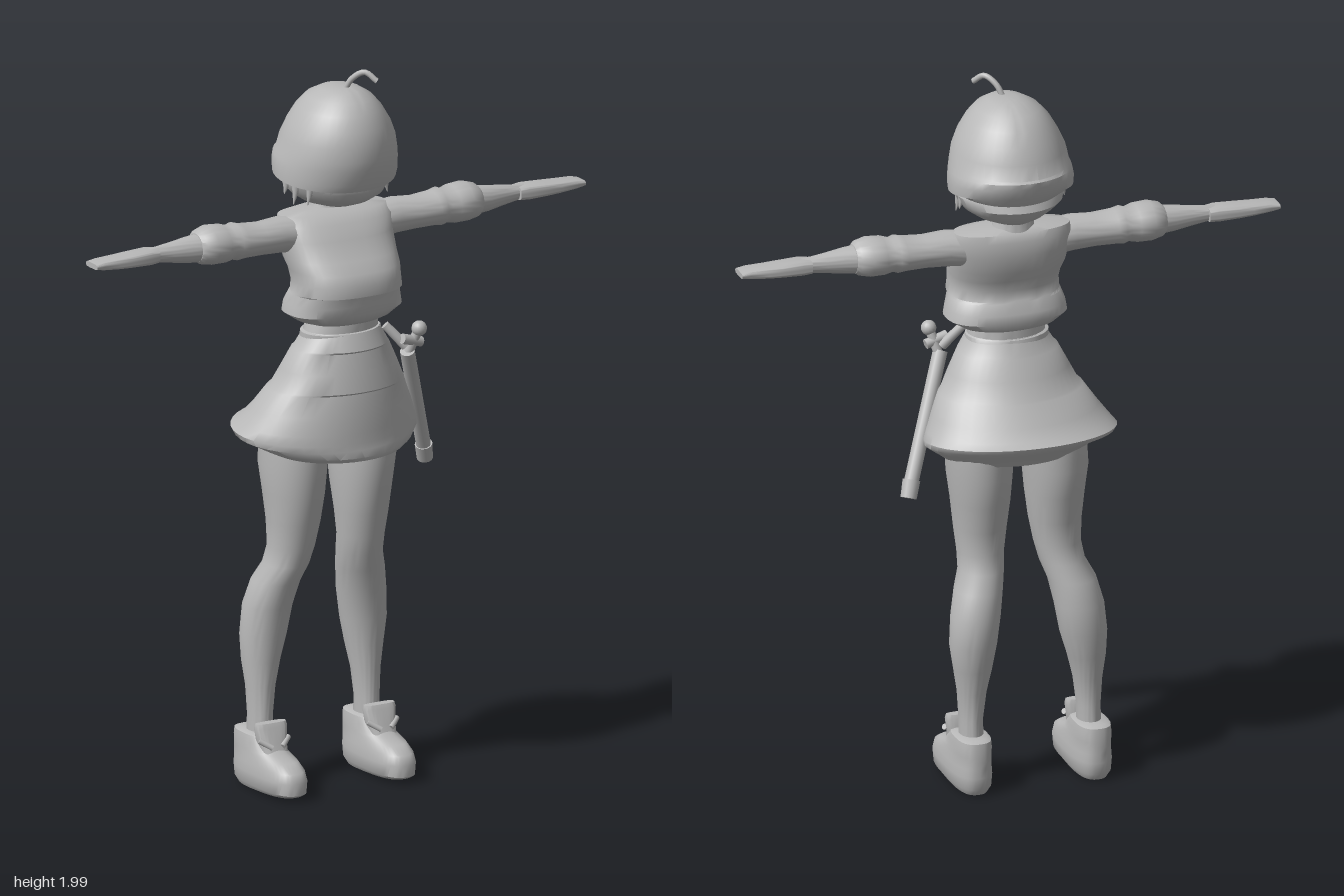
import * as THREE from 'three';
import { toCreasedNormals } from 'three/addons/utils/BufferGeometryUtils.js';

const grey = new THREE.MeshStandardMaterial({ color: 0xb8b8b8, side: THREE.DoubleSide });
grey.name = 'plain grey';

// Closed loft through oval rings, bottom to top: [y, xMin, xMax, zMin, zMax, tilt].
// power below 1 makes the ovals boxier; tilt raises or lowers a ring along z.
function loft(rings, power = 1, sides = 40) {
  const pos = [], index = [];
  const soft = (v) => Math.sign(v) * Math.abs(v) ** power;
  for (const [y, x0, x1, z0, z1, tilt = 0] of rings) {
    const cx = (x0 + x1) / 2, cz = (z0 + z1) / 2;
    for (let i = 0; i < sides; i++) {
      const a = (i / sides) * Math.PI * 2;
      const dz = ((z1 - z0) / 2) * soft(Math.sin(a));
      pos.push(cx + ((x1 - x0) / 2) * soft(Math.cos(a)), y + tilt * dz, cz + dz);
    }
  }
  for (let r = 0; r < rings.length - 1; r++) {
    for (let i = 0; i < sides; i++) {
      const a = r * sides + i, b = r * sides + ((i + 1) % sides);
      index.push(a, a + sides, b, b, a + sides, b + sides);
    }
  }
  // End caps
  [[rings[0], 0], [rings[rings.length - 1], (rings.length - 1) * sides]].forEach(([q, start], end) => {
    const c = pos.length / 3;
    pos.push((q[1] + q[2]) / 2, q[0], (q[3] + q[4]) / 2);
    for (let i = 0; i < sides; i++) {
      const a = start + i, b = start + ((i + 1) % sides);
      if (end) index.push(c, b, a); else index.push(c, a, b);
    }
  });
  const g = new THREE.BufferGeometry();
  g.setAttribute('position', new THREE.Float32BufferAttribute(pos, 3));
  g.setIndex(index);
  return toCreasedNormals(g, 0.75);
}

function rod(from, to, r0, r1) {
  const a = new THREE.Vector3(...from), b = new THREE.Vector3(...to);
  const g = new THREE.CylinderGeometry(r1, r0, a.distanceTo(b), 16);
  const dir = b.clone().sub(a).normalize();
  g.applyQuaternion(new THREE.Quaternion().setFromUnitVectors(new THREE.Vector3(0, 1, 0), dir));
  const m = a.add(b).multiplyScalar(0.5);
  return g.translate(m.x, m.y, m.z);
}

export function createModel() {
  const model = new THREE.Group();
  const add = (name, geometry) => {
    const mesh = new THREE.Mesh(geometry, grey);
    mesh.name = name;
    model.add(mesh);
    return mesh;
  };

  // Head: lower face and the bowl of hair above it
  add('face', loft([
    [1.615, -0.06, 0.05, -0.06, 0.08], [1.63, -0.10, 0.09, -0.085, 0.12],
    [1.65, -0.13, 0.12, -0.105, 0.15], [1.67, -0.15, 0.135, -0.12, 0.16],
    [1.692, -0.155, 0.145, -0.11, 0.165], [1.72, -0.14, 0.13, -0.10, 0.15],
  ]));
  add('hair', loft([
    [1.70, -0.15, 0.14, -0.11, 0.16, 0.1], [1.70, -0.18, 0.16, -0.135, 0.175, -0.12],
    [1.725, -0.18, 0.162, -0.145, 0.185, -0.15], [1.755, -0.175, 0.158, -0.148, 0.196, -0.06],
    [1.77, -0.17, 0.153, -0.14, 0.2], [1.81, -0.162, 0.145, -0.128, 0.198],
    [1.85, -0.145, 0.128, -0.11, 0.19], [1.89, -0.122, 0.104, -0.085, 0.17],
    [1.92, -0.095, 0.077, -0.055, 0.145], [1.94, -0.06, 0.045, -0.015, 0.11],
    [1.946, -0.035, 0.02, 0.01, 0.085],
  ]));
  add('hairSprig', new THREE.TubeGeometry(new THREE.CatmullRomCurve3([
    new THREE.Vector3(-0.005, 1.935, 0.065), new THREE.Vector3(0.01, 1.97, 0.08),
    new THREE.Vector3(0.035, 1.99, 0.105), new THREE.Vector3(0.058, 1.968, 0.13),
  ]), 16, 0.008, 8));
  for (const side of [-1, 1]) {
    for (const [x, y, z] of [[0.145, 1.635, 0.05], [0.125, 1.64, 0.09], [0.15, 1.655, 0.01]]) {
      add('hairTip', rod([side * x - 0.01, y, z], [side * (x - 0.012) - 0.01, 1.70, z], 0.001, 0.016));
    }
  }
  add('neck', loft([
    [1.57, -0.08, 0.07, -0.07, 0.05], [1.60, -0.062, 0.052, -0.062, 0.035], [1.65, -0.06, 0.05, -0.06, 0.035],
  ]));

  // Top with a flared lower edge
  add('torso', loft([
    [1.298, -0.11, 0.10, -0.03, 0.13], [1.308, -0.14, 0.13, -0.05, 0.145],
    [1.33, -0.172, 0.165, -0.06, 0.157], [1.355, -0.168, 0.16, -0.058, 0.158],
    [1.385, -0.158, 0.15, -0.045, 0.165], [1.39, -0.157, 0.147, -0.042, 0.19],
    [1.42, -0.155, 0.143, -0.042, 0.19], [1.45, -0.158, 0.147, -0.052, 0.178],
    [1.48, -0.165, 0.152, -0.065, 0.15], [1.53, -0.17, 0.158, -0.075, 0.112],
    [1.57, -0.174, 0.166, -0.074, 0.09], [1.592, -0.165, 0.158, -0.066, 0.06],
    [1.602, -0.10, 0.09, -0.05, 0.035],
  ], 0.8));
  add('waist', loft([
    [1.25, -0.125, 0.108, -0.04, 0.14], [1.272, -0.125, 0.105, -0.035, 0.14],
    [1.275, -0.115, 0.10, -0.03, 0.13], [1.31, -0.105, 0.095, -0.03, 0.13],
  ]));

  // Skirt with two shallow folds and a hem that is lower in front
  add('skirt', loft([
    [0.955, -0.15, 0.13, -0.10, 0.12, -0.1], [0.938, -0.20, 0.18, -0.125, 0.185, -0.05],
    [0.965, -0.25, 0.215, -0.165, 0.192, -0.13], [0.985, -0.29, 0.238, -0.192, 0.188, -0.12],
    [1.0, -0.296, 0.24, -0.197, 0.186, -0.1], [1.02, -0.28, 0.23, -0.175, 0.184, -0.06],
    [1.06, -0.25, 0.212, -0.148, 0.18], [1.115, -0.212, 0.188, -0.112, 0.172],
    [1.12, -0.203, 0.18, -0.108, 0.178], [1.17, -0.178, 0.157, -0.082, 0.168],
    [1.225, -0.15, 0.13, -0.055, 0.155], [1.23, -0.143, 0.124, -0.052, 0.16],
    [1.275, -0.115, 0.10, -0.032, 0.14],
  ]));

  // Legs: [y, centre on the right, centre on the left, half width, zMin, zMax]
  const leg = [
    [0.10, -0.215, 0.12, 0.033, -0.075, 0.015], [0.20, -0.213, 0.121, 0.032, -0.07, 0.013],
    [0.28, -0.209, 0.12, 0.04, -0.077, 0.01], [0.35, -0.203, 0.12, 0.053, -0.095, 0.012],
    [0.42, -0.193, 0.12, 0.065, -0.107, 0.016], [0.50, -0.182, 0.112, 0.068, -0.11, 0.026],
    [0.57, -0.167, 0.098, 0.066, -0.094, 0.045], [0.62, -0.145, 0.085, 0.062, -0.075, 0.06],
    [0.67, -0.135, 0.083, 0.064, -0.064, 0.07], [0.74, -0.13, 0.083, 0.072, -0.073, 0.085],
    [0.82, -0.128, 0.083, 0.08, -0.093, 0.102], [0.90, -0.128, 0.087, 0.088, -0.11, 0.11],
    [1.00, -0.12, 0.09, 0.09, -0.11, 0.11],
  ];
  for (const left of [false, true]) {
    const name = left ? 'left' : 'right';
    add(name + 'Leg', loft(leg.map(([y, r, l, w, z0, z1]) => {
      const c = left ? l : r;
      return [y, c - w, c + w, z0, z1];
    })));

    // Shoe, tongue and collar knots
    const x = left ? 0.123 : -0.217;
    add(name + 'Shoe', loft([
      [0.008, x - 0.045, x + 0.045, -0.10, 0.165, 0.04], [0.022, x - 0.055, x + 0.055, -0.114, 0.18],
      [0.055, x - 0.058, x + 0.058, -0.116, 0.182], [0.08, x - 0.055, x + 0.055, -0.116, 0.172],
      [0.1, x - 0.052, x + 0.052, -0.116, 0.135], [0.113, x - 0.05, x + 0.05, -0.116, 0.085],
      [0.135, x - 0.049, x + 0.049, -0.115, 0.06], [0.153, x - 0.046, x + 0.046, -0.113, 0.04],
      [0.158, x - 0.035, x + 0.035, -0.10, 0.025],
    ], 0.75));
    add(name + 'ShoeTongue', loft([
      [0.10, x - 0.035, x + 0.035, 0.015, 0.085], [0.14, x - 0.04, x + 0.04, 0.01, 0.066],
      [0.18, x - 0.048, x + 0.048, 0.015, 0.052], [0.192, x - 0.046, x + 0.046, 0.02, 0.045],
    ], 0.6));
    for (const s of [-1, 1]) {
      add(name + 'ShoeLace', rod([x + s * 0.015, 0.13, 0.07], [x + s * 0.045, 0.15, 0.05], 0.008, 0.008));
    }

    // Arm, lofted upright as [distance, yMin, yMax, zMin, zMax] and laid along x
    const flip = left ? -1 : 1;
    const across = (rings) => rings.map(([d, y0, y1, z0, z1]) =>
      left ? [d, -y1, -y0, z0, z1] : [d, y0, y1, z0, z1]);
    add(name + 'Sleeve', loft(across([
      [0.12, 1.49, 1.59, -0.04, 0.065], [0.18, 1.497, 1.595, -0.04, 0.065],
      [0.24, 1.50, 1.59, -0.037, 0.065], [0.30, 1.50, 1.594, -0.044, 0.07],
      [0.32, 1.497, 1.60, -0.045, 0.07], [0.335, 1.502, 1.594, -0.04, 0.066],
      [0.36, 1.497, 1.602, -0.048, 0.074], [0.40, 1.497, 1.605, -0.05, 0.074],
      [0.43, 1.503, 1.597, -0.038, 0.066], [0.44, 1.51, 1.588, -0.028, 0.055],
    ])).rotateZ(flip * Math.PI / 2));
    add(name + 'Forearm', loft(across([
      [0.42, 1.508, 1.588, -0.028, 0.055], [0.47, 1.512, 1.583, -0.02, 0.048],
      [0.52, 1.52, 1.576, -0.012, 0.038], [0.56, 1.526, 1.571, -0.007, 0.032],
      [0.60, 1.53, 1.568, -0.008, 0.034],
    ])).rotateZ(flip * Math.PI / 2));
    add(name + 'Hand', loft(across([
      [0.565, 1.53, 1.566, -0.018, 0.04], [0.59, 1.528, 1.569, -0.02, 0.044],
      [0.65, 1.53, 1.566, -0.02, 0.045], [0.69, 1.532, 1.564, -0.018, 0.044],
      [0.74, 1.537, 1.562, -0.016, 0.044], [0.765, 1.542, 1.557, -0.016, 0.043],
    ]), 0.5).rotateZ(flip * Math.PI / 2));
  }

  // Sheathed sword on the left hip
  add('scabbard', rod([0.285, 0.862, 0.002], [0.15, 1.2, 0.135], 0.02, 0.02));
  add('scabbardTip', rod([0.289, 0.845, -0.004], [0.275, 0.89, 0.012], 0.022, 0.024));
  add('swordHandle', rod([0.155, 1.19, 0.13], [0.178, 1.27, 0.153], 0.013, 0.013));
  add('swordPommel', new THREE.SphereGeometry(0.021, 16, 12).translate(0.177, 1.264, 0.152));
  add('swordGuard', rod([0.128, 1.24, 0.145], [0.19, 1.222, 0.14], 0.014, 0.014));
  add('beltKnot', rod([0.095, 1.275, 0.11], [0.145, 1.215, 0.135], 0.012, 0.014));
  return model;
}
